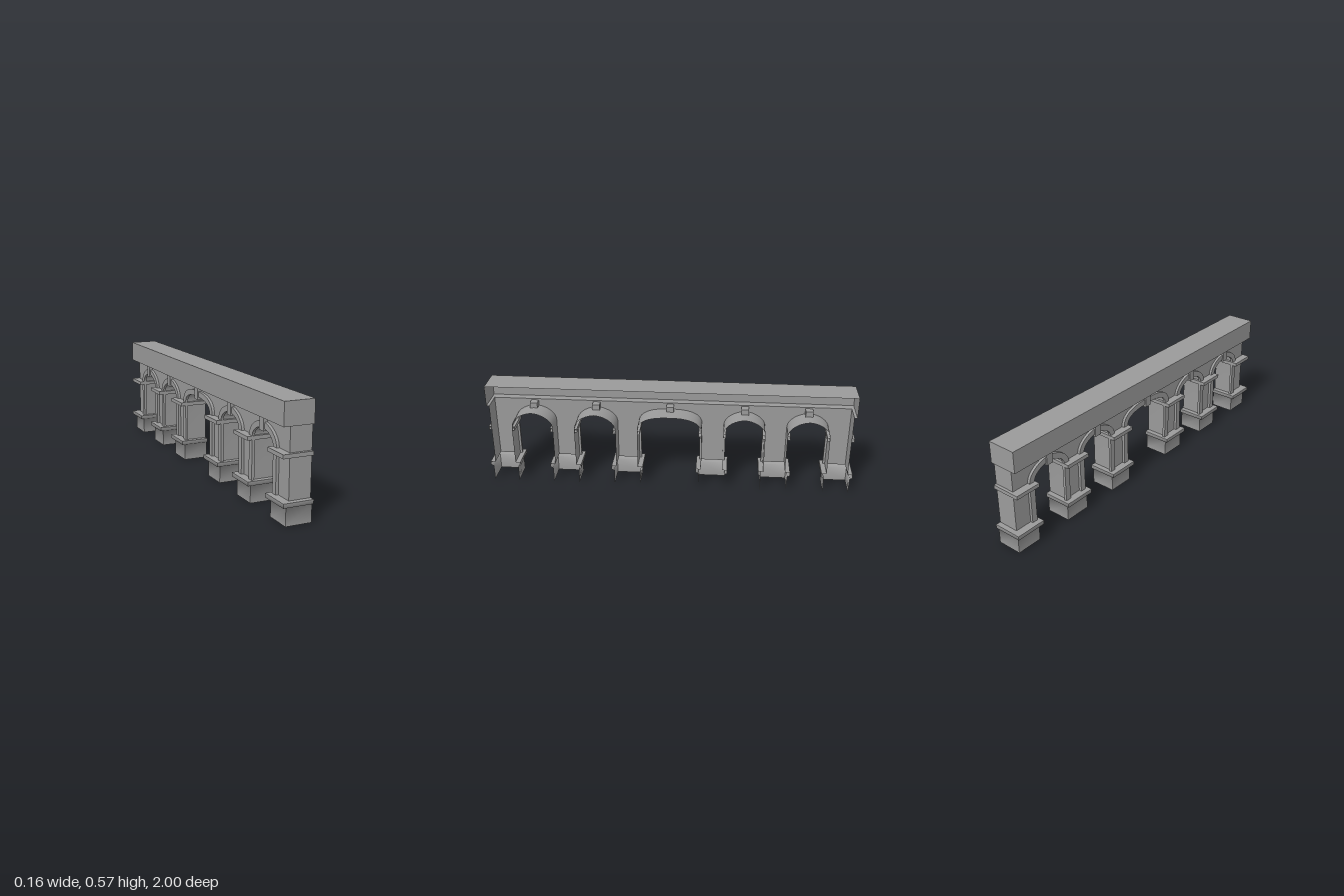
import * as THREE from 'three';
import { toCreasedNormals } from 'three/addons/utils/BufferGeometryUtils.js';

const material = new THREE.MeshStandardMaterial({ color: 0x9b9b9b, side: THREE.DoubleSide });
const BACK = 0.0775, FACE = -0.0355, END = 0.973;
const FOOT = 0.114, SPRING = 0.335, CROWN = 0.422, WALL_TOP = 0.458, TOP = 0.572;

// Openings: centre along z, half width, roundness of the arch
const openings = [
  { z: -0.7475, half: 0.1125, power: 2 },
  { z: -0.4045, half: 0.1125, power: 2 },
  { z: 0, half: 0.174, power: 2.5 },
  { z: 0.4045, half: 0.1125, power: 2 },
  { z: 0.7475, half: 0.1125, power: 2 },
];

// Outline of an opening in (z, y), from one foot over the arch to the other
function archOutline({ z, half, power }, grow, crown) {
  const w = half + grow, rise = crown - SPRING, n = 20;
  const points = [new THREE.Vector2(z - w, FOOT)];
  for (let i = 0; i <= n; i++) {
    const a = Math.PI * (1 - i / n);
    const c = Math.cos(a), s = Math.max(Math.sin(a), 0);
    const u = Math.sign(c) * Math.pow(Math.abs(c), 2 / power);
    const v = Math.pow(s, 2 / power);
    const peak = power > 2 ? 0 : 0.1;
    points.push(new THREE.Vector2(z + u * w, SPRING + rise * (v * (1 - peak) + peak * (1 - Math.abs(u)))));
  }
  points.push(new THREE.Vector2(z + w, FOOT));
  return points;
}

// Skin over rows of points, each row of equal length; edges sharper than the crease angle stay hard
function skin(rows, crease) {
  const cols = rows[0].length, index = [];
  for (let r = 0; r < rows.length - 1; r++) {
    for (let c = 0; c < cols - 1; c++) {
      const a = r * cols + c, b = a + cols;
      index.push(a, b, a + 1, a + 1, b, b + 1);
    }
  }
  const geometry = new THREE.BufferGeometry();
  geometry.setAttribute('position', new THREE.Float32BufferAttribute(rows.flat(2), 3));
  geometry.setIndex(index);
  return toCreasedNormals(geometry, crease);
}

// Strip following (z, y) points between two x positions
function strip(points, x0, x1) {
  return skin([x1, x0].map((x) => points.map((p) => [x, p.y, p.x])), 0.6);
}

// Moulding swept round three sides, open at the back; profile is [dx, dz, y]
function moulding(z0, z1, profile) {
  return skin(profile.map(([dx, dz, y]) => [
    [BACK, y, z1 + dz], [FACE - dx, y, z1 + dz], [FACE - dx, y, z0 - dz], [BACK, y, z0 - dz],
  ]), 1.4);
}

export function createModel() {
  const model = new THREE.Group();
  model.name = 'arcade';
  const add = (name, geometry) => {
    const mesh = new THREE.Mesh(geometry, material);
    mesh.name = name;
    model.add(mesh);
    return mesh;
  };
  const v = (z, y) => new THREE.Vector2(z, y);

  // Beam along the top
  add('beam', moulding(-END, END, [
    [0, 0, WALL_TOP], [0.042, 0.015, WALL_TOP], [0.042, 0.015, TOP],
  ]));
  add('beamTop', strip([v(END + 0.015, TOP), v(-END - 0.015, TOP)], FACE - 0.042, BACK));

  // Wall face with the openings cut from its lower edge
  const outline = [v(-END, FOOT)];
  openings.forEach((o) => outline.push(...archOutline(o, 0, CROWN)));
  outline.push(v(END, FOOT), v(END, WALL_TOP), v(-END, WALL_TOP));
  const wall = new THREE.ShapeGeometry(new THREE.Shape(outline));
  wall.rotateY(-Math.PI / 2).translate(FACE, 0, 0);
  add('wallFace', wall);
  for (const side of [-1, 1]) {
    add('wallEnd', strip([v(side * END, FOOT), v(side * END, WALL_TOP)], FACE, BACK));
  }

  for (const o of openings) {
    // Jambs and underside of the arch
    add('archSoffit', strip(archOutline(o, 0, CROWN), FACE, BACK));

    // Raised surround on the face
    const ring = [...archOutline(o, 0.02, 0.431), ...archOutline(o, -0.0115, 0.4).reverse()];
    const surround = new THREE.ExtrudeGeometry(new THREE.Shape(ring), { depth: 0.0145, bevelEnabled: false });
    surround.rotateY(-Math.PI / 2).translate(FACE, 0, 0);
    add('archSurround', surround);

    // Keystone
    add('keystone', new THREE.BoxGeometry(0.062, 0.065, 0.04)).position.set(-0.026, 0.4185, o.z);
  }

  // Piers between the openings: plinth and impost
  const edges = [-END, ...openings.flatMap((o) => [o.z - o.half, o.z + o.half]), END];
  for (let i = 0; i < edges.length; i += 2) {
    add('pierPlinth', moulding(edges[i], edges[i + 1], [
      [0.021, 0.013, 0], [0.021, 0.013, 0.087], [0.042, 0.027, 0.093], [0.042, 0.027, FOOT], [0, 0, FOOT],
    ]));
    add('pierImpost', moulding(edges[i], edges[i + 1], [
      [0, 0, 0.315], [0.042, 0.015, 0.315], [0.042, 0.015, SPRING], [0, 0, SPRING],
    ]));
  }
  return model;
}
